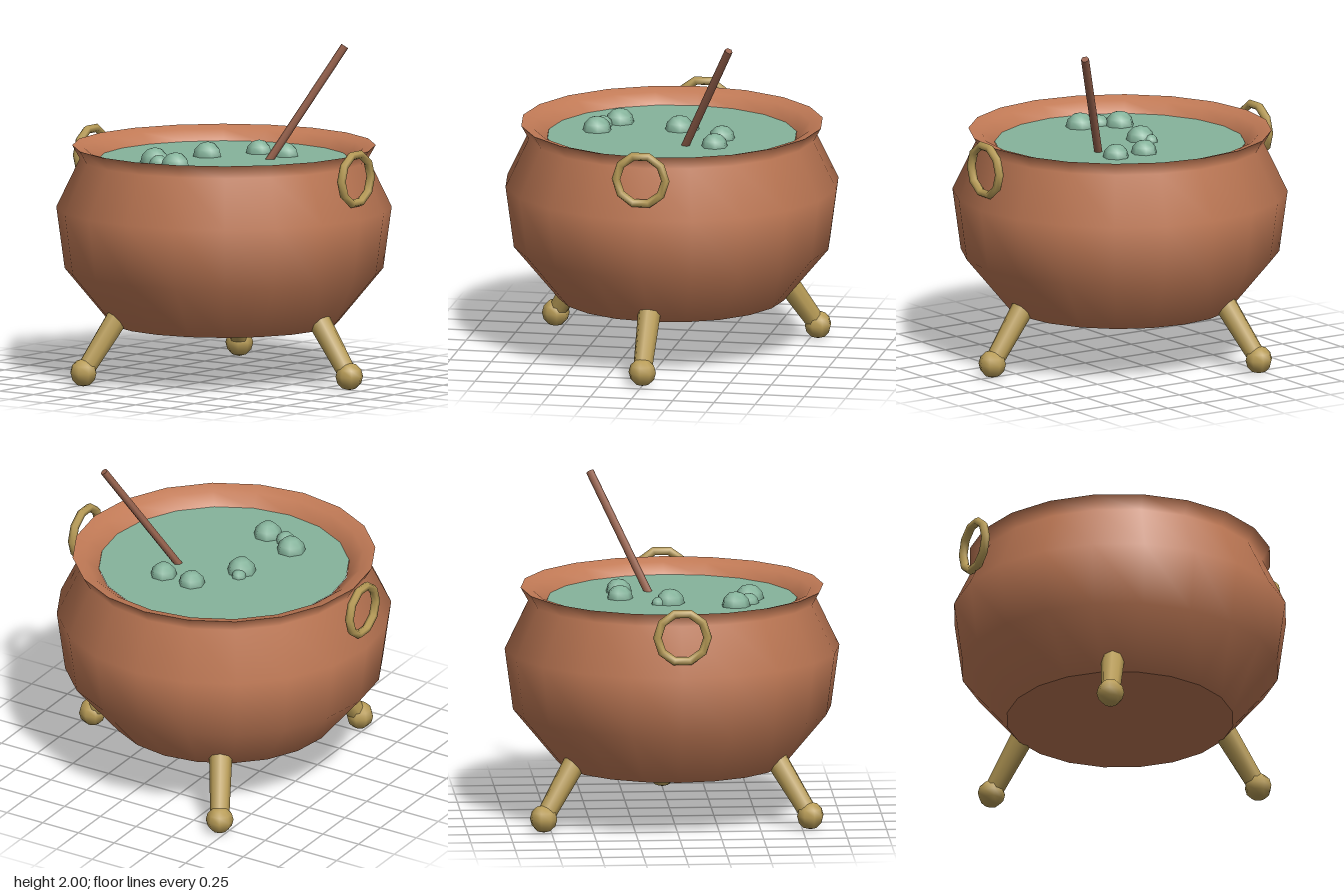
import * as THREE from 'three';

const mat = (name, color, extra = {}) => {
  const m = new THREE.MeshStandardMaterial({ color, ...extra });
  m.name = name;
  return m;
};

export function createModel() {
  const copper = mat('copper', 0xc17a56);
  const brass = mat('brass', 0xb89c57);
  const brew = mat('greenBrew', 0x86b49c);
  const wood = mat('wood', 0x98634e);

  const root = new THREE.Group();
  root.name = 'cauldron';
  const add = (name, geometry, material, parent = root) => {
    const mesh = new THREE.Mesh(geometry, material);
    mesh.name = name;
    parent.add(mesh);
    return mesh;
  };
  const lathe = (pts) => new THREE.LatheGeometry(pts.map((p) => new THREE.Vector2(...p)), 20);
  // Tapered rod between two points
  const rod = (name, a, b, rA, rB, sides, material, parent) => {
    const dir = b.clone().sub(a);
    const mesh = add(name, new THREE.CylinderGeometry(rB, rA, dir.length(), sides), material, parent);
    mesh.position.copy(a).addScaledVector(dir, 0.5);
    mesh.quaternion.setFromUnitVectors(new THREE.Vector3(0, 1, 0), dir.normalize());
    return mesh;
  };

  // Pot: shallow conical base, bellied wall, rolled lip
  add('potBase', lathe([[0, 0.295], [0.68, 0.335]]), copper);
  add('potWall', lathe([[0.68, 0.335], [0.95, 0.66], [1.0, 1.03], [0.86, 1.32], [0.905, 1.4]]), copper);
  add('potLip', lathe([[0.905, 1.4], [0.83, 1.38], [0.75, 1.32], [0.742, 1.25]]), copper);

  // Liquid surface
  const liquid = add('liquid', new THREE.CircleGeometry(0.748, 20), brew);
  liquid.rotation.x = -Math.PI / 2;
  liquid.position.y = 1.32;

  // Bubbles: x, z, radius
  const bubbles = [
    [0.035, -0.31, 0.08], [0.235, -0.305, 0.08], [-0.135, -0.02, 0.088], [-0.16, -0.09, 0.045],
    [-0.245, 0.365, 0.088], [-0.155, 0.45, 0.06], [-0.025, 0.46, 0.088],
  ];
  for (const [x, z, r] of bubbles) {
    const b = add('bubble', new THREE.SphereGeometry(r, 7, 6), brew);
    b.position.set(x, 1.32, z);
    b.rotation.y = Math.PI / 2;
  }

  // Stirring stick
  rod('stirringStick', new THREE.Vector3(0.23, 1.29, -0.115), new THREE.Vector3(0.56, 1.99, -0.455),
    0.024, 0.024, 6, wood);

  // Three splayed legs with ball feet
  for (let i = 0; i < 3; i++) {
    const leg = new THREE.Group();
    leg.name = 'leg';
    leg.rotation.y = (i * Math.PI * 2) / 3;
    rod('legShaft', new THREE.Vector3(0.6, 0.54, 0), new THREE.Vector3(0.91, 0.095, 0), 0.075, 0.057, 8, brass, leg);
    const foot = add('foot', new THREE.SphereGeometry(0.083, 8, 6), brass, leg);
    foot.position.set(0.92, 0.083, 0);
    root.add(leg);
  }

  // Ring handles
  for (const side of [1, -1]) {
    const ring = add('ringHandle', new THREE.TorusGeometry(0.15, 0.026, 6, 10), brass);
    ring.position.set(side * 0.97, 1.275, 0);
    ring.rotation.y = Math.PI / 2;
  }

  return root;
}
